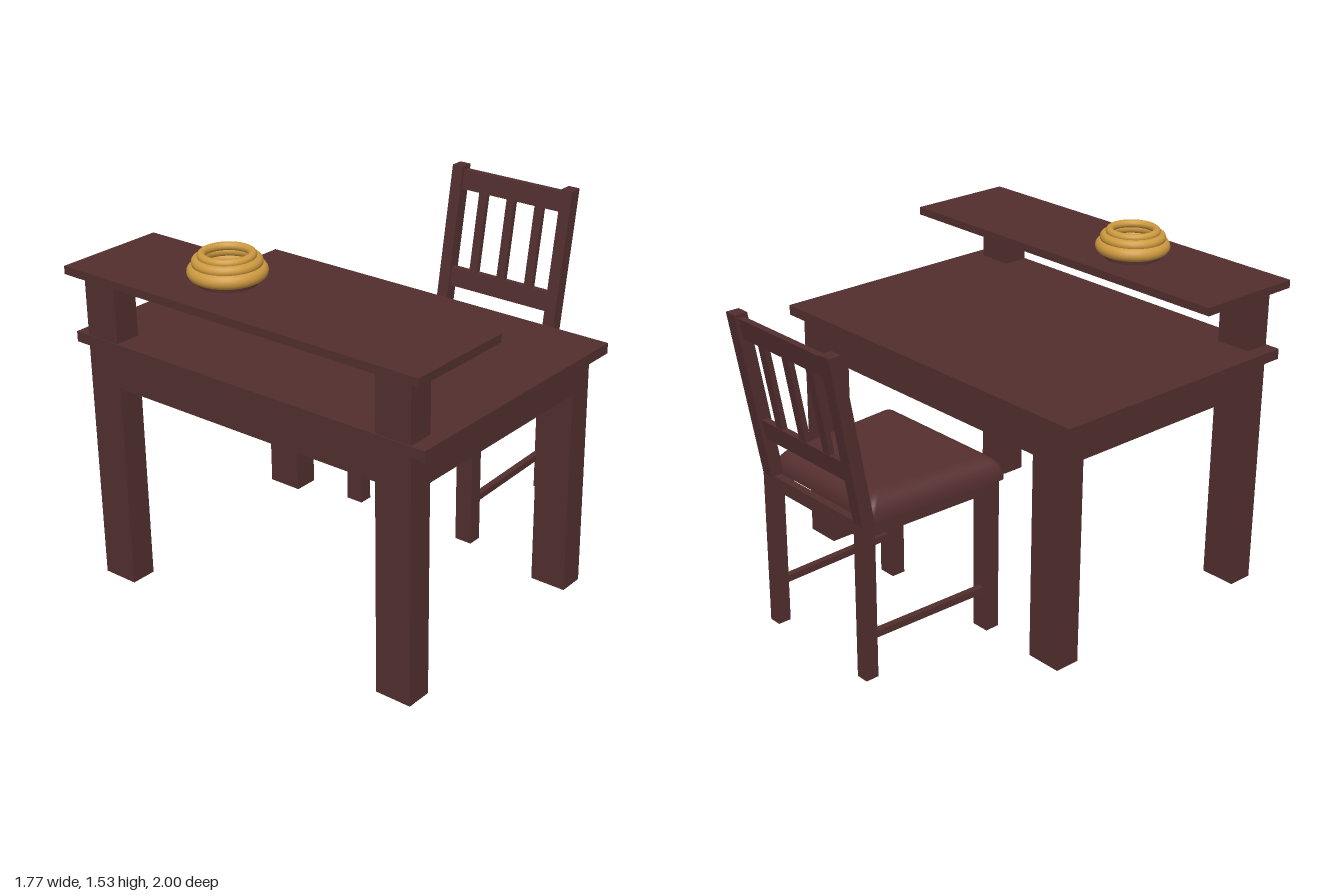
import * as THREE from 'three';

const wood = new THREE.MeshStandardMaterial({ color: 0x522e2e });
wood.name = 'dark wood';
const cushion = new THREE.MeshStandardMaterial({ color: 0x562f30 });
cushion.name = 'seat brown';
const gold = new THREE.MeshStandardMaterial({ color: 0xcd993f });
gold.name = 'gold';

function add(parent, name, geometry, material = wood) {
  const mesh = new THREE.Mesh(geometry, material);
  mesh.name = name;
  parent.add(mesh);
  return mesh;
}

// Box given by its limits on each axis
function box(parent, name, x0, x1, y0, y1, z0, z1) {
  const g = new THREE.BoxGeometry(x1 - x0, y1 - y0, z1 - z0);
  g.translate((x0 + x1) / 2, (y0 + y1) / 2, (z0 + z1) / 2);
  return add(parent, name, g);
}

// Centre of the leaning chair back at a given height
const leanZ = (y) => -0.835 - 0.185 * (y - 0.7);

// Box whose vertices are sheared to follow the lean of the back
function leaningBox(parent, name, x0, x1, y0, y1, thickness) {
  const mesh = box(parent, name, x0, x1, y0, y1, -thickness / 2, thickness / 2);
  const p = mesh.geometry.attributes.position;
  for (let i = 0; i < p.count; i++) p.setZ(i, p.getZ(i) + leanZ(p.getY(i)));
  mesh.geometry.computeVertexNormals();
  return mesh;
}

function makeDesk() {
  const desk = new THREE.Group();
  desk.name = 'desk';
  box(desk, 'deskTop', -0.885, 0.885, 1.06, 1.105, -0.26, 0.96);
  box(desk, 'deskApron', -0.82, 0.82, 0.91, 1.06, -0.23, 0.955);
  box(desk, 'upperShelf', -0.885, 0.885, 1.365, 1.4, 0.5, 1);
  for (const s of [-1, 1]) {
    const x0 = s > 0 ? 0.657 : -0.82;
    const x1 = x0 + 0.163;
    box(desk, 'deskFrontLeg', x0, x1, 0, 0.91, 0.84, 0.955);
    box(desk, 'deskBackLeg', x0, x1, 0, 0.91, -0.23, -0.115);
    box(desk, 'shelfPost', x0, x1, 1.105, 1.365, 0.84, 0.955);
  }
  return desk;
}

// Tapered cushion with a flat base and rounded upper edge
function seatGeometry() {
  const steps = 8, side = 10;
  const zBack = -0.815, zFront = -0.16;
  const positions = [], index = [];
  const ring = (inset, y) => {
    const z0 = zBack + inset, z1 = zFront - inset, r = 0.025;
    const corners = [[1, z1, 0], [-1, z1, 1], [-1, z0, 2], [1, z0, 3]];
    for (const [sx, z, q] of corners) {
      const half = 0.32 + 0.05 * (z - zBack) / (zFront - zBack) - inset;
      const cx = sx * (half - r), cz = z - (q < 2 ? r : -r);
      for (let k = 0; k < side; k++) {
        const a = (q + k / (side - 1)) * Math.PI / 2;
        positions.push(cx + r * Math.cos(a), y, cz + r * Math.sin(a));
      }
    }
  };
  const n = side * 4;
  ring(0, 0.7);
  for (let i = 0; i <= steps; i++) {
    const a = i / steps * Math.PI / 2;
    ring(0.075 * (1 - Math.cos(a)), 0.715 + 0.085 * Math.sin(a));
  }
  for (let i = 0; i <= steps; i++) {
    for (let j = 0; j < n; j++) {
      const a = i * n + j, b = i * n + (j + 1) % n;
      index.push(a, a + n, b, b, a + n, b + n);
    }
  }
  // Flat top, then a separate ring for the flat base
  const top = (steps + 1) * n;
  for (let j = 1; j < n - 1; j++) index.push(top, top + j + 1, top + j);
  const base = positions.length / 3;
  ring(0, 0.7);
  for (let j = 1; j < n - 1; j++) index.push(base, base + j, base + j + 1);
  const g = new THREE.BufferGeometry();
  g.setAttribute('position', new THREE.Float32BufferAttribute(positions, 3));
  g.setIndex(index);
  g.computeVertexNormals();
  return g;
}

// Side bar running from the front leg to the narrower back leg
function sideBar(parent, name, s, y0, y1, width) {
  const mesh = box(parent, name, -width / 2, width / 2, y0, y1, -0.82, -0.22);
  const p = mesh.geometry.attributes.position;
  for (let i = 0; i < p.count; i++) {
    p.setX(i, p.getX(i) + s * (p.getZ(i) < -0.5 ? 0.297 : 0.315));
  }
  mesh.geometry.computeVertexNormals();
}

function makeChair() {
  const chair = new THREE.Group();
  chair.name = 'chair';
  add(chair, 'seat', seatGeometry(), cushion);
  for (const s of [-1, 1]) {
    const span = (a, b) => (s > 0 ? [a, b] : [-b, -a]);
    box(chair, 'chairFrontLeg', ...span(0.268, 0.35), 0.01, 0.7, -0.245, -0.18);
    box(chair, 'chairBackLeg', ...span(0.268, 0.325), 0.01, 0.7, -0.865, -0.805);
    leaningBox(chair, 'backPost', ...span(0.268, 0.325), 0.7, 1.435, 0.06);
    sideBar(chair, 'sideApron', s, 0.64, 0.7, 0.035);
    sideBar(chair, 'sideStretcher', s, 0.18, 0.21, 0.028);
  }
  box(chair, 'frontApron', -0.27, 0.27, 0.64, 0.7, -0.23, -0.195);
  box(chair, 'backApron', -0.27, 0.27, 0.64, 0.7, -0.852, -0.818);
  leaningBox(chair, 'topRail', -0.27, 0.27, 1.33, 1.418, 0.03);
  leaningBox(chair, 'lowerRail', -0.27, 0.27, 0.88, 0.965, 0.03);
  for (const x of [-0.152, 0, 0.152]) {
    leaningBox(chair, 'backSlat', x - 0.021, x + 0.021, 0.96, 1.335, 0.024);
  }
  chair.position.x = -0.06;
  return chair;
}

// Stacked gold rings on a low round base
function makeBowl() {
  const bowl = new THREE.Group();
  bowl.name = 'ringBowl';
  add(bowl, 'bowlBase', new THREE.CylinderGeometry(0.12, 0.12, 0.03, 40).translate(0, 0.015, 0));
  const rings = [[0.13, 0.03, 0.05], [0.119, 0.022, 0.088], [0.1, 0.017, 0.114]];
  for (const [radius, tube, y] of rings) {
    const g = new THREE.TorusGeometry(radius, tube, 16, 48).rotateX(-Math.PI / 2);
    add(bowl, 'bowlRing', g.translate(0, y, 0), gold);
  }
  bowl.position.set(-0.248, 1.4, 0.73);
  return bowl;
}

export function createModel() {
  const model = new THREE.Group();
  model.name = 'deskAndChair';
  model.add(makeDesk(), makeChair(), makeBowl());
  return model;
}
